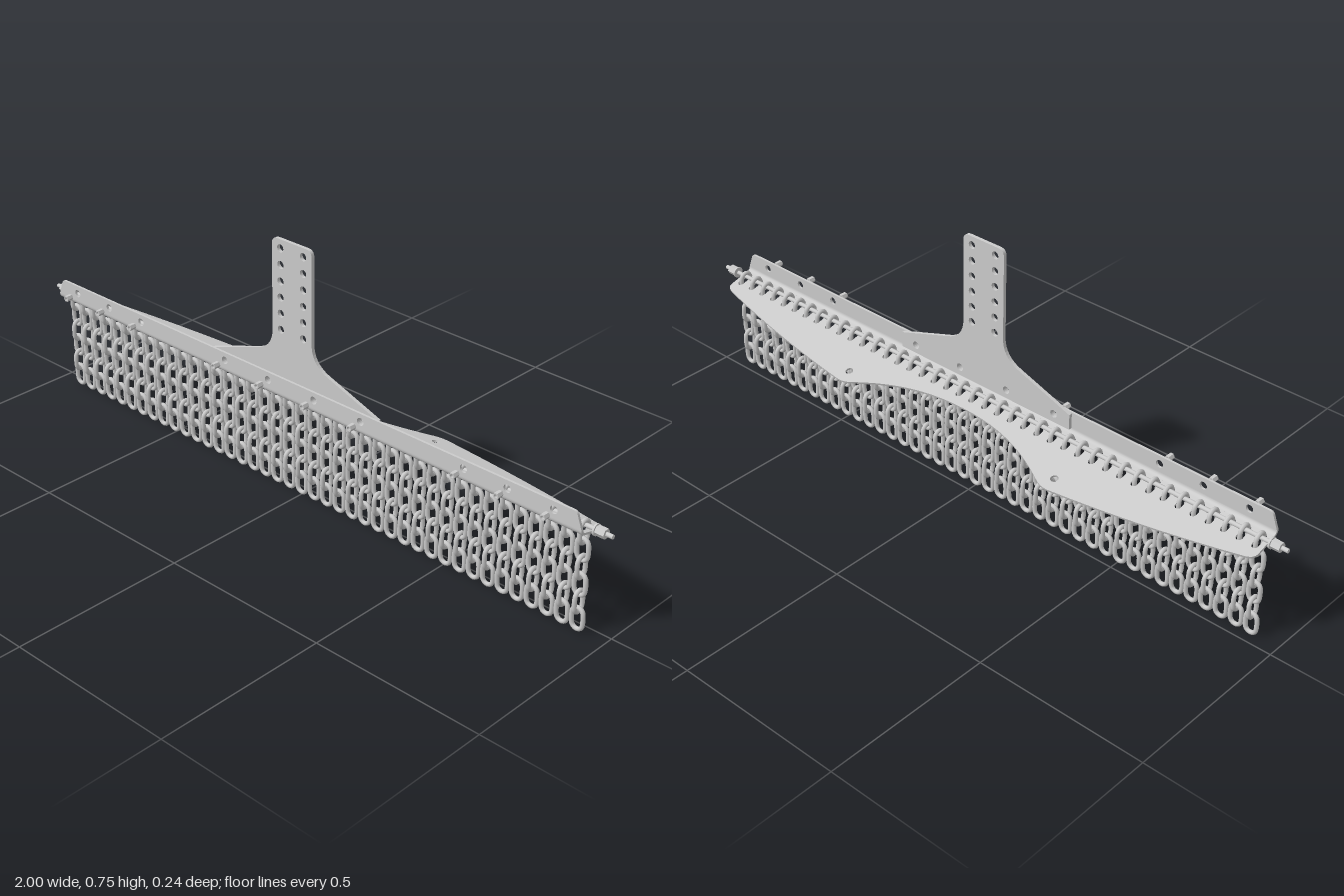
import * as THREE from 'three';

const CHAINS = 41, SPAN = 0.918, ROD_Y = 0.302, ROD_Z = 0.03, TILT = 15 * Math.PI / 180;
const BOLT_X = [0.083, 0.247, 0.585, 0.72, 0.858], BOLT_Y = 0.335;

const material = new THREE.MeshStandardMaterial({ color: 0xcccccc });

function add(parent, name, geometry, x = 0, y = 0, z = 0) {
  const mesh = new THREE.Mesh(geometry, material);
  mesh.name = name;
  mesh.position.set(x, y, z);
  parent.add(mesh);
  return mesh;
}

function punch(shape, x, y, r) {
  shape.holes.push(new THREE.Path().absarc(x, y, r, 0, Math.PI * 2, true));
}

function plate(shape, depth) {
  return new THREE.ExtrudeGeometry(shape, { depth, bevelEnabled: false, curveSegments: 10 });
}

// Upright mounting bracket with a flared foot and two columns of holes
function bracketGeometry() {
  const s = new THREE.Shape();
  s.moveTo(-0.3, 0.31);
  s.lineTo(0.3, 0.31);
  s.lineTo(0.3, 0.355);
  s.lineTo(0.125, 0.415);
  s.quadraticCurveTo(0.07, 0.434, 0.07, 0.49);
  s.lineTo(0.07, 0.73);
  s.quadraticCurveTo(0.07, 0.75, 0.05, 0.75);
  s.lineTo(-0.05, 0.75);
  s.quadraticCurveTo(-0.07, 0.75, -0.07, 0.73);
  s.lineTo(-0.07, 0.49);
  s.quadraticCurveTo(-0.07, 0.434, -0.125, 0.415);
  s.lineTo(-0.3, 0.355);
  for (const side of [-1, 1]) {
    for (let i = 0; i < 6; i++) punch(s, side * 0.04, 0.495 + i * 0.046, 0.011);
    for (const x of BOLT_X.slice(0, 2)) punch(s, side * x, BOLT_Y, 0.011);
  }
  return plate(s, 0.01);
}

// Upright flange of the long angle plate
function flangeGeometry() {
  const s = new THREE.Shape();
  s.moveTo(-0.94, 0.312);
  s.lineTo(0.94, 0.312);
  s.lineTo(0.926, 0.35);
  s.quadraticCurveTo(0.923, 0.358, 0.913, 0.358);
  s.lineTo(-0.913, 0.358);
  s.quadraticCurveTo(-0.923, 0.358, -0.926, 0.35);
  for (const x of BOLT_X) for (const side of [-1, 1]) punch(s, side * x, BOLT_Y, 0.011);
  return plate(s, 0.007);
}

// Curved bend joining the flange and the sloping shelf
function bendGeometry() {
  const s = new THREE.Shape();
  s.moveTo(0.058, 0.294);
  s.quadraticCurveTo(0.073, 0.298, 0.073, 0.312);
  s.lineTo(0.066, 0.312);
  s.quadraticCurveTo(0.066, 0.3024, 0.0564, 0.2998);
  return plate(s, 1.88).rotateY(-Math.PI / 2).translate(0.94, 0, 0);
}

// Sloping shelf: winged rear edge and a slot for every chain; shape y runs backwards
function shelfGeometry() {
  const s = new THREE.Shape();
  s.moveTo(-0.94, 0);
  s.lineTo(0.94, 0);
  s.lineTo(0.94, 0.065);
  s.quadraticCurveTo(0.94, 0.082, 0.915, 0.088);
  s.quadraticCurveTo(0.66, 0.15, 0.38, 0.182);
  s.quadraticCurveTo(0.355, 0.184, 0.335, 0.172);
  s.bezierCurveTo(0.22, 0.105, 0.12, 0.081, 0, 0.081);
  s.bezierCurveTo(-0.12, 0.081, -0.22, 0.105, -0.335, 0.172);
  s.quadraticCurveTo(-0.355, 0.184, -0.38, 0.182);
  s.quadraticCurveTo(-0.66, 0.15, -0.915, 0.088);
  s.quadraticCurveTo(-0.94, 0.082, -0.94, 0.065);
  for (const side of [-1, 1]) punch(s, side * 0.37, 0.143, 0.011);
  for (let i = 0; i < CHAINS; i++) {
    const x = chainX(i), w = 0.009;
    const slot = new THREE.Path();
    slot.absarc(x, 0.004 + w, w, 0, Math.PI, true);
    slot.absarc(x, 0.056 - w, w, Math.PI, 0, true);
    slot.closePath();
    s.holes.push(slot);
  }
  return plate(s, 0.006).rotateX(-Math.PI / 2 - TILT).translate(0, 0.294, 0.058);
}

function chainX(i) {
  return -SPAN + 2 * SPAN * i / (CHAINS - 1);
}

// Oval chain link, wide in x
function linkGeometry() {
  const points = [], r = 0.01625, straight = 0.01425;
  for (const side of [1, -1]) {
    for (let i = 0; i <= 6; i++) {
      const a = Math.PI * i / 6;
      points.push(new THREE.Vector3(side * r * Math.cos(a), side * (straight + r * Math.sin(a)), 0));
    }
  }
  const path = new THREE.CatmullRomCurve3(points, true);
  return new THREE.TubeGeometry(path, 24, 0.00625, 8, true);
}

// Hexagonal ring with its axis along z
function nutGeometry(radius, bore, depth) {
  const s = new THREE.Shape();
  for (let i = 0; i < 6; i++) {
    const a = i * Math.PI / 3;
    s[i ? 'lineTo' : 'moveTo'](radius * Math.cos(a), radius * Math.sin(a));
  }
  punch(s, 0, 0, bore);
  return plate(s, depth).translate(0, 0, -depth / 2);
}

export function createModel() {
  const model = new THREE.Group();
  model.name = 'chainCurtain';

  add(model, 'mountingBracket', bracketGeometry(), 0, 0, 0.056);
  add(model, 'frontFlange', flangeGeometry(), 0, 0, 0.066);
  add(model, 'plateBend', bendGeometry());
  add(model, 'slopingShelf', shelfGeometry());

  // Rod carrying the chains, closed by a washer and nut at each end
  add(model, 'hangerRod', new THREE.CylinderGeometry(0.006, 0.006, 2, 16).rotateZ(Math.PI / 2), 0, ROD_Y, ROD_Z);
  const washer = new THREE.CylinderGeometry(0.016, 0.016, 0.005, 24).rotateZ(Math.PI / 2);
  const endNut = nutGeometry(0.014, 0.006, 0.026).rotateY(Math.PI / 2);
  for (const side of [-1, 1]) {
    add(model, 'rodWasher', washer, side * 0.952, ROD_Y, ROD_Z);
    add(model, 'rodNut', endNut, side * 0.968, ROD_Y, ROD_Z);
  }

  // Loose nuts in front of the flange holes
  const nut = nutGeometry(0.0092, 0.005, 0.019);
  for (const x of BOLT_X) {
    for (const side of [-1, 1]) add(model, 'flangeNut', nut, side * x, 0.333, 0.1075);
  }

  // Hanging chains: six links each, every other one turned a quarter
  const link = linkGeometry();
  for (let i = 0; i < CHAINS; i++) {
    const chain = new THREE.Group();
    chain.name = 'chain';
    chain.position.set(chainX(i), 0, ROD_Z);
    for (let j = 0; j < 6; j++) {
      const mesh = add(chain, 'chainLink', link, 0, 0.0368 + j * 0.049, 0);
      mesh.rotation.y = j % 2 ? Math.PI / 2 : 0;
    }
    model.add(chain);
  }
  return model;
}
